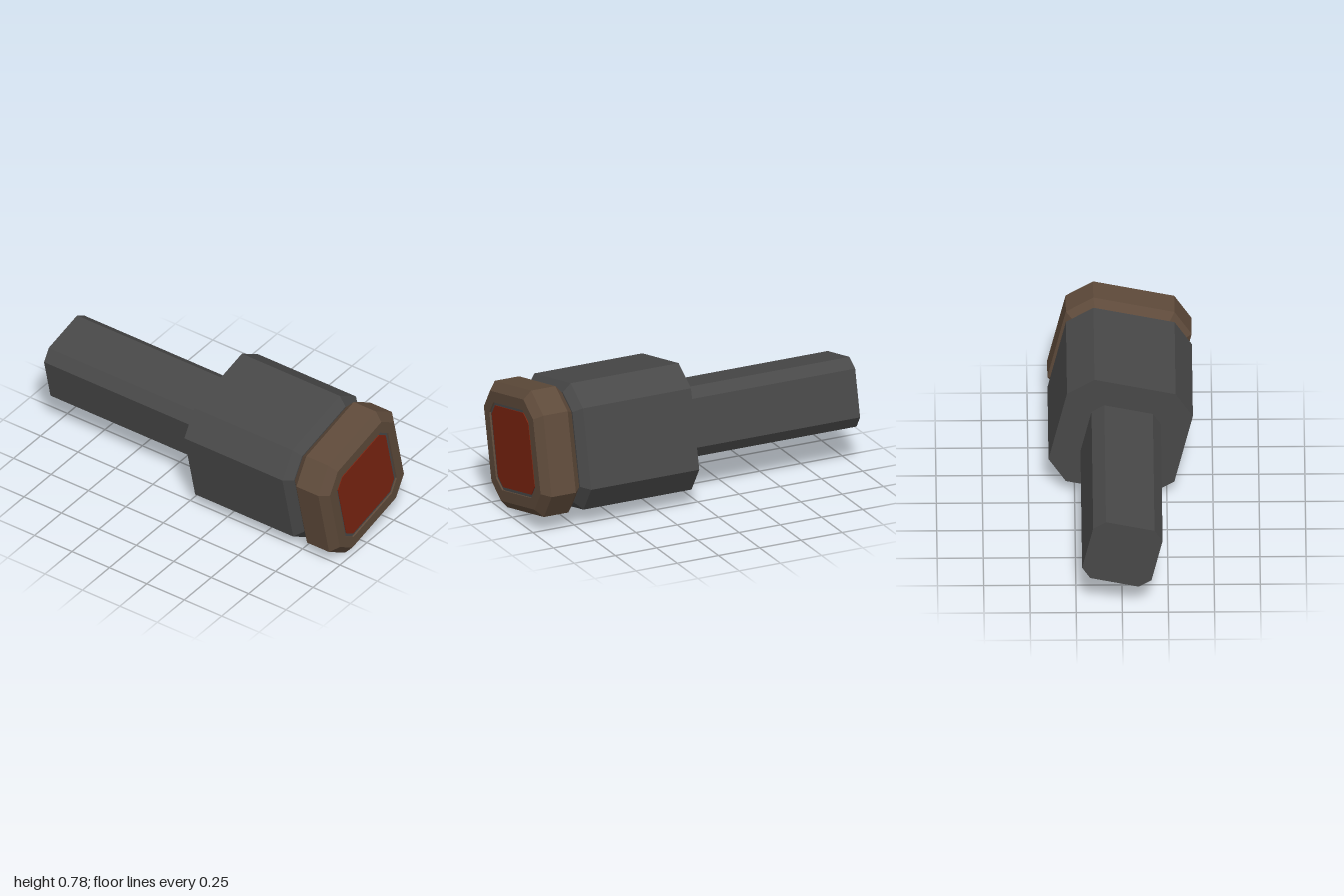
import * as THREE from 'three';

// Half straight side of a chamfered square, for a uniform inward offset
const straight = (h) => 0.2255 - 0.414 * (0.35 - h);

// Corners of a chamfered square, counter-clockwise seen from the front
function octagon(z, h, s = straight(h)) {
  if (h === 0) s = 0;
  return [[h, -s], [h, s], [s, h], [-s, h], [-h, s], [-h, -s], [-s, -h], [s, -h]]
    .map(([x, y]) => [x, y, z]);
}

// Joins sections [z, half width, half straight side]; half width 0 closes an end
function loft(sections) {
  const rings = sections.map((s) => octagon(...s));
  const pos = [];
  for (let k = 0; k < rings.length - 1; k++) {
    for (let i = 0; i < 8; i++) {
      const j = (i + 1) % 8;
      const a = rings[k][i], b = rings[k][j], c = rings[k + 1][j], d = rings[k + 1][i];
      if (sections[k][1] > 0) pos.push(...a, ...b, ...c);
      if (sections[k + 1][1] > 0) pos.push(...a, ...c, ...d);
    }
  }
  const geometry = new THREE.BufferGeometry();
  geometry.setAttribute('position', new THREE.Float32BufferAttribute(pos, 3));
  geometry.computeVertexNormals();
  return geometry;
}

export function createModel() {
  const material = (name, color) => {
    const m = new THREE.MeshStandardMaterial({ color });
    m.name = name;
    return m;
  };
  const grey = material('dark grey', 0x484848);
  const brown = material('brown', 0x5e4a3a);
  const red = material('dark red', 0x7a2410);

  const model = new THREE.Group();
  model.name = 'model';
  const add = (name, sections, mat) => {
    const mesh = new THREE.Mesh(loft(sections), mat);
    mesh.name = name;
    model.add(mesh);
  };

  // Long rear shaft, running through the body into the front ring
  add('shaft', [[-1, 0], [-1, 0.193, 0.135], [0.9, 0.193, 0.135], [0.9, 0]], grey);

  // Wide housing with a bevelled front edge
  add('body', [[0.062, 0], [0.062, 0.35], [0.717, 0.35], [0.761, 0.305], [0.761, 0]], grey);

  // Bevelled ring with an open centre
  add('frontRing', [
    [0.766, 0.2435], [0.766, 0.305], [0.81, 0.35], [0.957, 0.35],
    [1, 0.305], [1, 0.2435], [0.766, 0.2435],
  ], brown);

  // Recessed rim and face inside the ring
  add('faceRim', [[0.766, 0], [0.766, 0.2435], [0.99, 0.2435], [0.99, 0]], grey);
  add('facePlate', [[0.99, 0.2265], [0.995, 0.2265], [0.995, 0]], red);

  // The whole piece is rolled slightly about its long axis
  model.rotation.z = 0.224;
  model.position.y = 0.395;
  const root = new THREE.Group();
  root.add(model);
  return root;
}
